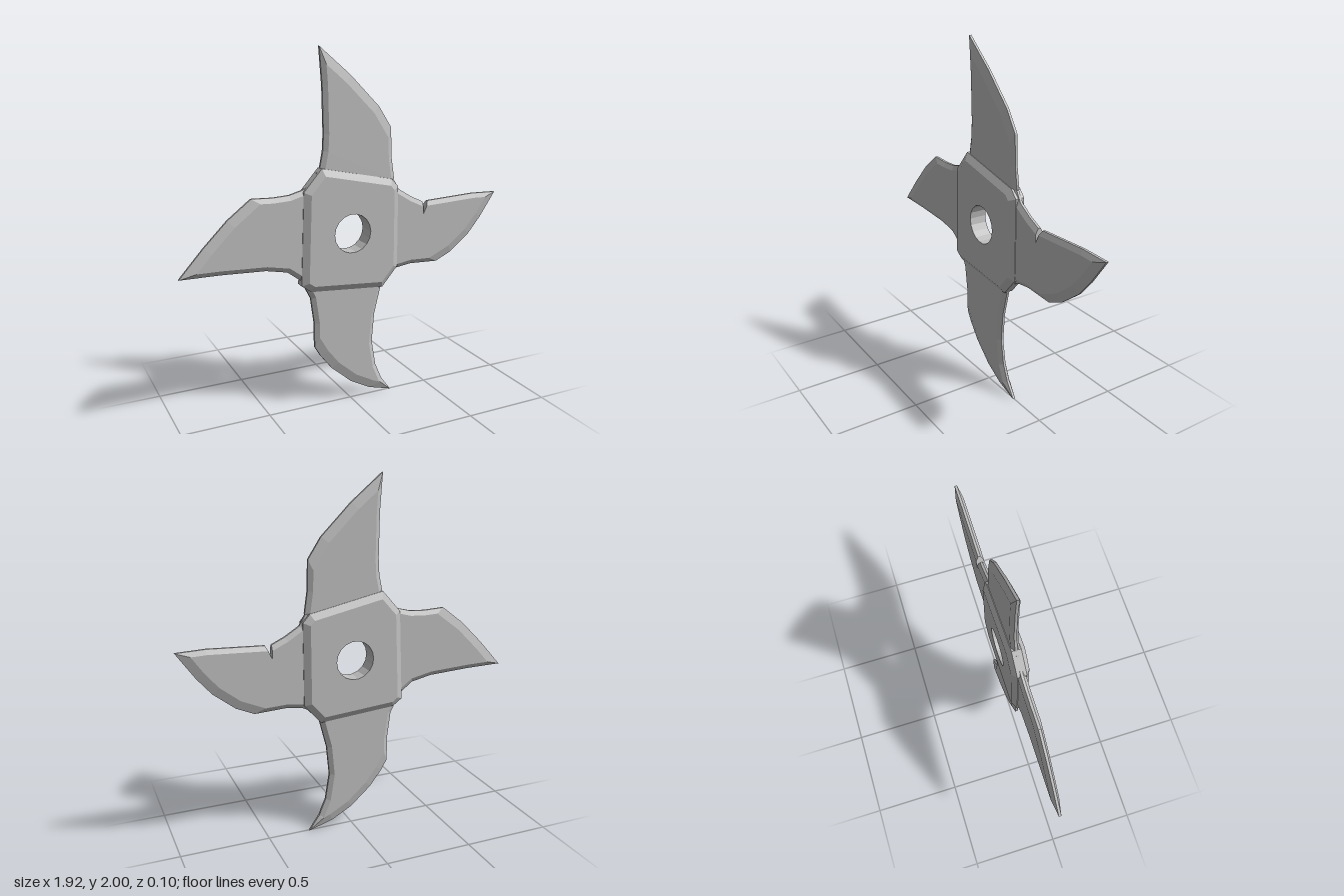
import * as THREE from 'three';

const steel = new THREE.MeshStandardMaterial({ color: 0xc0c0c0 });
steel.name = 'steel grey';

// Moves each corner of a counter-clockwise outline inwards; the third value of a
// point is the bevel width of the edge that starts there.
function insetOutline(points, width) {
  const n = points.length;
  const edges = points.map((p, i) => {
    const q = points[(i + 1) % n];
    const len = Math.hypot(q[0] - p[0], q[1] - p[1]);
    return { x: -(q[1] - p[1]) / len, y: (q[0] - p[0]) / len, w: p[2] ?? width };
  });
  return points.map((p, i) => {
    const a = edges[(i + n - 1) % n], b = edges[i];
    const det = a.x * b.y - a.y * b.x;
    let x, y;
    if (Math.abs(det) < 0.4) {
      x = (a.x * a.w + b.x * b.w) / 2;
      y = (a.y * a.w + b.y * b.w) / 2;
    } else {
      x = (a.w * b.y - b.w * a.y) / det;
      y = (a.x * b.w - b.x * a.w) / det;
    }
    const k = Math.min(1, 0.1 / (Math.hypot(x, y) || 1));
    return [p[0] + x * k, p[1] + y * k];
  });
}

// Double-sided bevelled plate: thin rim, sloping bevels, flat faces, optional hole
function bevelledPlate(name, points, { width, rim, half, hole = [] }) {
  const inner = insetOutline(points, width);
  const pos = [];
  const tri = (a, b, c) => pos.push(...a, ...b, ...c);
  const quad = (a, b, c, d) => { tri(a, b, c); tri(a, c, d); };
  const at = (p, z) => [p[0], p[1], z];

  // Rim and bevels
  points.forEach((p, i) => {
    const j = (i + 1) % points.length, q = points[j];
    quad(at(p, -rim), at(q, -rim), at(q, rim), at(p, rim));
    quad(at(p, rim), at(q, rim), at(inner[j], half), at(inner[i], half));
    quad(at(q, -rim), at(p, -rim), at(inner[i], -half), at(inner[j], -half));
  });

  // Front and back faces
  const toV = (list) => list.map((p) => new THREE.Vector2(p[0], p[1]));
  const all = [...inner, ...hole];
  const faces = THREE.ShapeUtils.triangulateShape(toV(inner), hole.length ? [toV(hole)] : []);
  for (const f of faces) {
    let [a, b, c] = f.map((i) => all[i]);
    if ((b[0] - a[0]) * (c[1] - a[1]) - (b[1] - a[1]) * (c[0] - a[0]) < 0) [b, c] = [c, b];
    tri(at(a, half), at(b, half), at(c, half));
    tri(at(a, -half), at(c, -half), at(b, -half));
  }

  // Wall of the hole (hole runs clockwise)
  hole.forEach((p, i) => {
    const q = hole[(i + 1) % hole.length];
    quad(at(p, -half), at(q, -half), at(q, half), at(p, half));
  });

  const geometry = new THREE.BufferGeometry();
  geometry.setAttribute('position', new THREE.Float32BufferAttribute(pos, 3));
  geometry.computeVertexNormals();
  const mesh = new THREE.Mesh(geometry, steel);
  mesh.name = name;
  return mesh;
}

export function createModel() {
  const group = new THREE.Group();
  group.name = 'throwingStar';

  // Square hub with cut corners and a round centre hole
  const hole = Array.from({ length: 18 }, (_, i) => {
    const a = -i / 18 * Math.PI * 2;
    return [-0.007 + 0.109 * Math.cos(a), 1.002 + 0.109 * Math.sin(a)];
  });
  group.add(bevelledPlate('hub', [
    [-0.305, 0.735], [-0.25, 0.695], [0.19, 0.66], [0.285, 0.77],
    [0.285, 1.235], [0.245, 1.28], [-0.18, 1.37], [-0.285, 1.25],
  ], { width: 0.036, rim: 0.026, half: 0.05, hole }));

  // Four curved blades, with wide bevels on the cutting edges
  const cut = 0.05;
  const blades = {
    topBlade: [
      [-0.18, 1.3, 0], [0.24, 1.22], [0.268, 1.28], [0.25, 1.4], [0.245, 1.565, cut],
      [0.17, 1.68, cut], [0, 1.85, cut], [-0.18, 2], [-0.165, 1.8], [-0.16, 1.55],
      [-0.165, 1.46], [-0.185, 1.36],
    ],
    leftBlade: [
      [-0.2, 1.35], [-0.235, 1.295], [-0.285, 1.26], [-0.36, 1.24], [-0.45, 1.235],
      [-0.57, 1.24, cut], [-0.7, 1.14, cut], [-0.83, 1.01, cut], [-0.965, 0.86],
      [-0.75, 0.857], [-0.5, 0.845], [-0.38, 0.82], [-0.3, 0.76], [-0.2, 0.76, 0],
    ],
    bottomBlade: [
      [-0.28, 0.72], [-0.245, 0.65], [-0.225, 0.5], [-0.225, 0.36, cut],
      [-0.19, 0.3, cut], [-0.12, 0.21, cut], [0, 0.105, cut], [0.12, 0.04, cut],
      [0.26, 0], [0.2, 0.085], [0.16, 0.18], [0.135, 0.33], [0.15, 0.5],
      [0.19, 0.66], [0.18, 0.75, 0],
    ],
    rightBlade: [
      [0.22, 0.72], [0.29, 0.755], [0.38, 0.768], [0.56, 0.76, cut], [0.66, 0.805, cut],
      [0.78, 0.9, cut], [0.86, 0.995, cut], [0.96, 1.14], [0.8, 1.145], [0.49, 1.13, 0],
      [0.455, 1.055, 0], [0.455, 1.13], [0.38, 1.165], [0.3, 1.215], [0.262, 1.28],
      [0.22, 1.28, 0],
    ],
  };
  for (const [name, outline] of Object.entries(blades)) {
    group.add(bevelledPlate(name, outline, { width: 0.026, rim: 0.007, half: 0.023 }));
  }
  return group;
}
